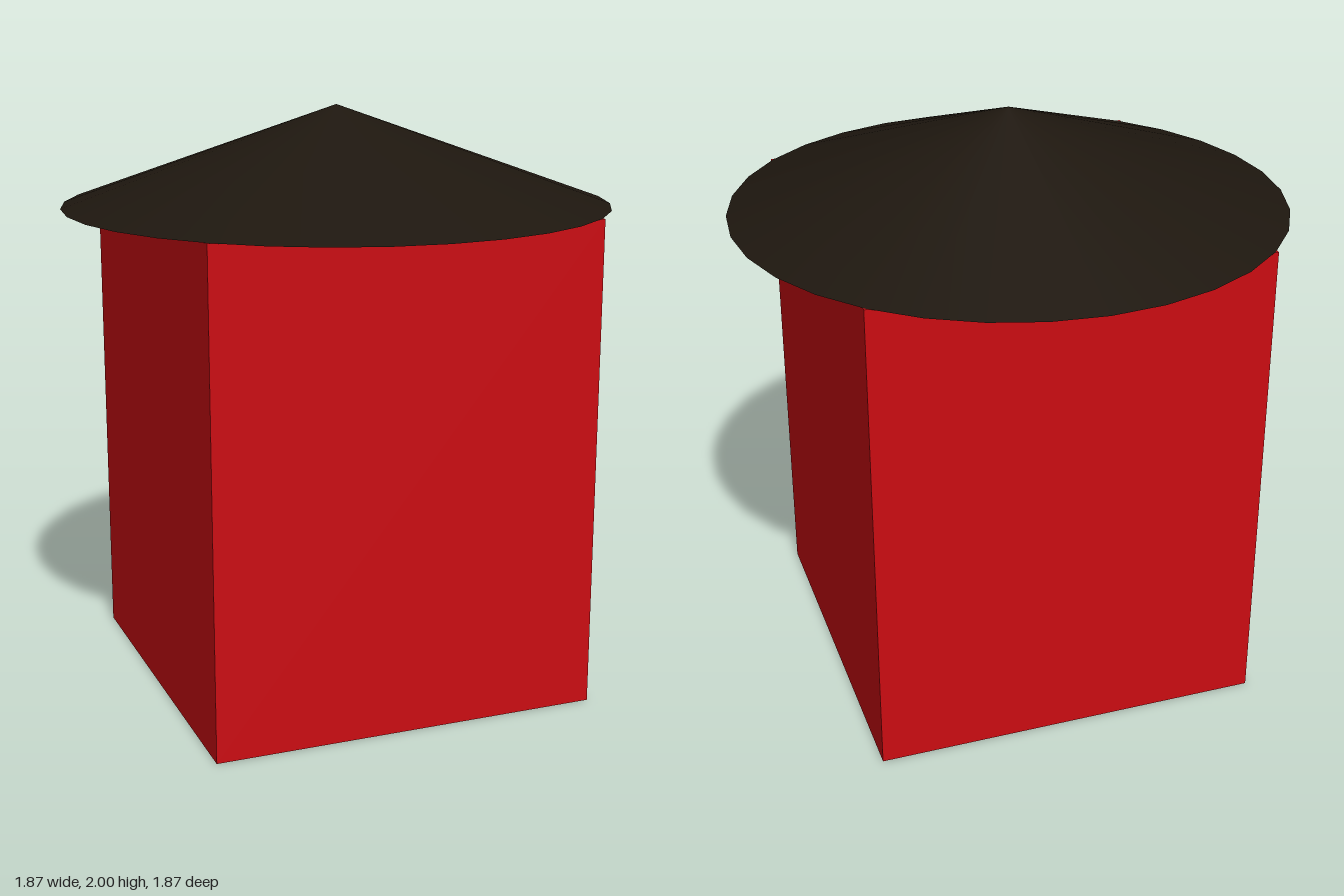
import * as THREE from 'three';

const BODY_WIDTH = 1.3333, BODY_HEIGHT = 1.6667;
const ROOF_RADIUS = 0.9333, ROOF_HEIGHT = 0.3333;

function addPart(group, name, geometry, color, y) {
  const mesh = new THREE.Mesh(geometry, new THREE.MeshStandardMaterial({ color }));
  mesh.name = name;
  mesh.position.y = y;
  group.add(mesh);
}

export function createModel() {
  const model = new THREE.Group();
  model.name = 'hut';

  // Square body standing on the ground
  addPart(model, 'body', new THREE.BoxGeometry(BODY_WIDTH, BODY_HEIGHT, BODY_WIDTH),
    0xcc0c12, BODY_HEIGHT / 2);

  // Shallow round roof with a closed underside
  addPart(model, 'roof', new THREE.ConeGeometry(ROOF_RADIUS, ROOF_HEIGHT, 32),
    0x1e170f, BODY_HEIGHT + ROOF_HEIGHT / 2);

  return model;
}
